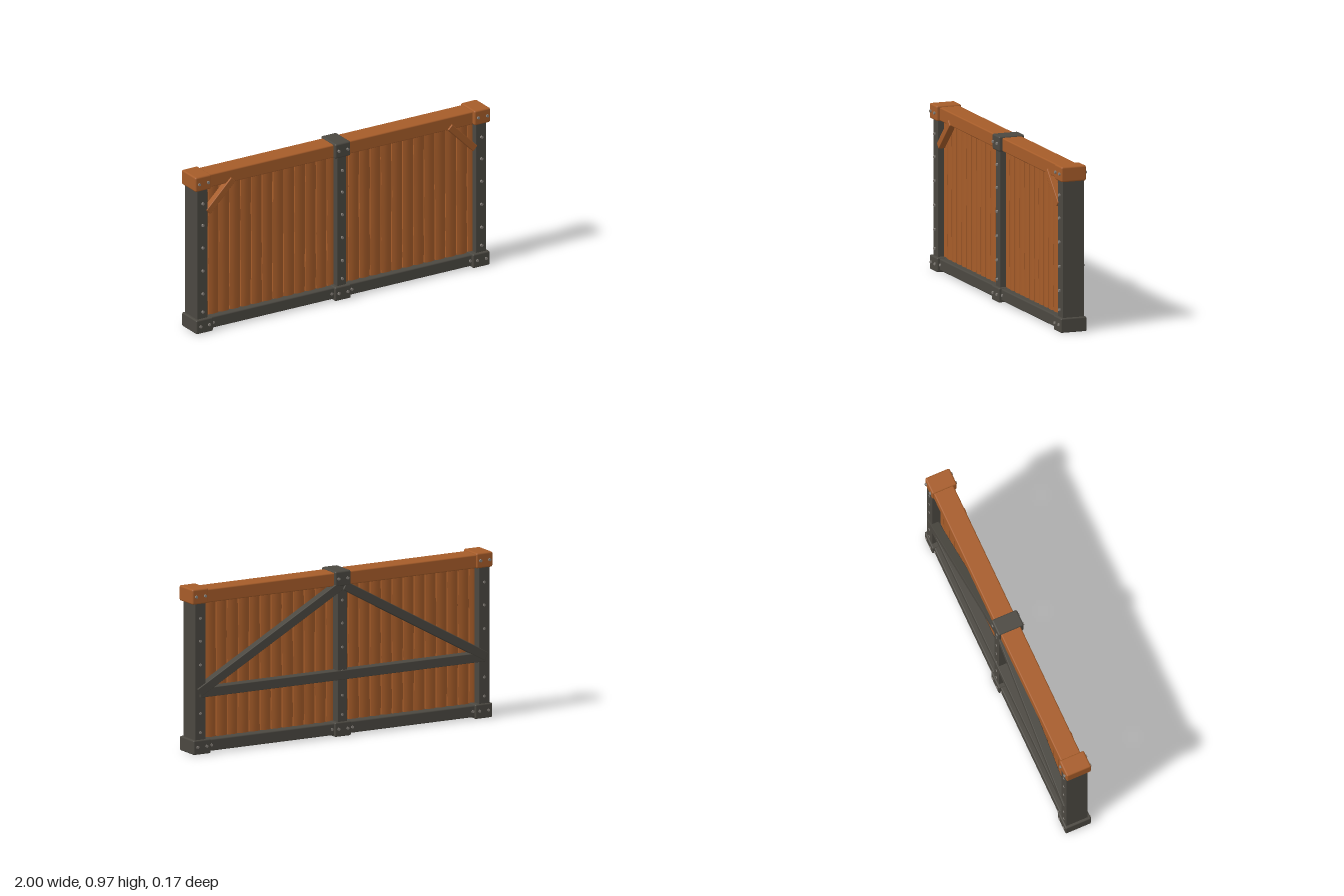
import * as THREE from 'three';
import { RoundedBoxGeometry } from 'three/addons/geometries/RoundedBoxGeometry.js';

const material = (name, color) => {
  const m = new THREE.MeshStandardMaterial({ color });
  m.name = name;
  return m;
};

export function createModel() {
  const model = new THREE.Group();
  model.name = 'woodenFence';
  const wood = material('warm wood', 0xa65c29);
  const iron = material('dark beam', 0x4b4841);
  const steel = material('bolt steel', 0x85807a);

  // Small seeded generator for plank irregularity
  let seed = 11;
  const rand = () => (seed = (seed * 16807) % 2147483647) / 2147483647;

  const add = (name, geometry, mat, x, y, z) => {
    const mesh = new THREE.Mesh(geometry, mat);
    mesh.name = name;
    mesh.position.set(x, y, z);
    model.add(mesh);
    return mesh;
  };

  // Softly rounded block given by its extents
  const block = (name, mat, [x0, x1], [y0, y1], [z0, z1], r = 0.006) =>
    add(name, new RoundedBoxGeometry(x1 - x0, y1 - y0, z1 - z0, 2, r), mat,
      (x0 + x1) / 2, (y0 + y1) / 2, (z0 + z1) / 2);

  // Straight beam between two points in the plane of the fence
  const beam = (name, mat, [ax, ay], [bx, by], width, [z0, z1]) => {
    const length = Math.hypot(bx - ax, by - ay);
    const mesh = add(name, new RoundedBoxGeometry(length, width, z1 - z0, 2, 0.004), mat,
      (ax + bx) / 2, (ay + by) / 2, (z0 + z1) / 2);
    mesh.rotation.z = Math.atan2(by - ay, bx - ax);
  };

  // Hexagonal bolt head
  const boltGeometry = new THREE.CylinderGeometry(0.009, 0.009, 0.01, 6).toNonIndexed();
  boltGeometry.rotateX(Math.PI / 2);
  boltGeometry.computeVertexNormals();
  const bolt = (x, y, z) => add('bolt', boltGeometry, steel, x, y, z);

  // Horizontal rails
  block('topRail', wood, [-0.95, 0.95], [0.885, 0.965], [-0.068, 0.056], 0.008);
  block('bottomRail', iron, [-0.95, 0.95], [0.01, 0.08], [-0.07, 0.062], 0.008);

  // Slightly crowned planks with uneven edges
  const count = 26, pitch = 1.904 / count;
  for (let i = 0; i < count; i++) {
    const g = new THREE.BoxGeometry(pitch - 0.001, 0.88, 0.04, 4, 7, 1);
    const p = g.attributes.position;
    const edges = Array.from({ length: 8 }, () => [rand() * 0.004, rand() * 0.004]);
    for (let k = 0; k < p.count; k++) {
      const row = Math.round((p.getY(k) / 0.88 + 0.5) * 7);
      const u = p.getX(k) / (pitch / 2);
      p.setZ(k, p.getZ(k) * (1.12 - 0.4 * u * u));
      if (u > 0.9) p.setX(k, p.getX(k) - edges[row][0]);
      if (u < -0.9) p.setX(k, p.getX(k) + edges[row][1]);
    }
    g.computeVertexNormals();
    add('plank', g, wood, -0.952 + pitch * (i + 0.5), 0.48, 0.003);
  }

  // Posts with caps, feet and bolts
  for (const s of [-1, 0, 1]) {
    const x = s * 0.945;
    const half = s ? 0.035 : 0.031;
    block('post', iron, [x - half, x + half], [0.06, 0.91], [-0.072, 0.062], 0.003);

    const capX = s * 0.946, capHalf = s ? 0.054 : 0.052;
    block('postCap', s ? wood : iron, [capX - capHalf, capX + capHalf],
      [0.884, 0.974], s ? [-0.077, 0.077] : [-0.082, 0.077], 0.01);
    const footX = s * 0.938, footHalf = s ? 0.057 : 0.054;
    block('postFoot', iron, [footX - footHalf, footX + footHalf],
      [0, 0.085], [-0.082, 0.079], 0.008);

    for (const y of [0.127, 0.24, 0.382, 0.525, 0.665, 0.8]) {
      bolt(x, y, 0.069);
      bolt(x, y, -0.0695);
    }
    for (const d of [-0.03, 0.03]) {
      for (const z of [-0.082, 0.081]) {
        bolt(capX + d, 0.93, z);
        bolt(footX + d, 0.045, z);
      }
    }
    // Rail bolts beside each foot
    for (const d of [-0.068, 0.068]) {
      if (Math.abs(footX + d) < 0.9) {
        bolt(footX + d, 0.045, 0.062);
        bolt(footX + d, 0.045, -0.07);
      }
    }
  }

  // Rear cross bar
  block('rearCrossBar', iron, [-0.95, 0.95], [0.333, 0.388], [-0.08, -0.02], 0.004);

  // Mirrored rear diagonals and front corner braces
  for (const s of [-1, 1]) {
    beam('rearDiagonal', iron, [s * 0.955, 0.362], [s * 0.015, 0.885], 0.052, [-0.081, -0.03]);
    beam('cornerBrace', wood, [s * 0.905, 0.737], [s * 0.735, 0.905], 0.04, [0.025, 0.066]);
  }

  return model;
}
